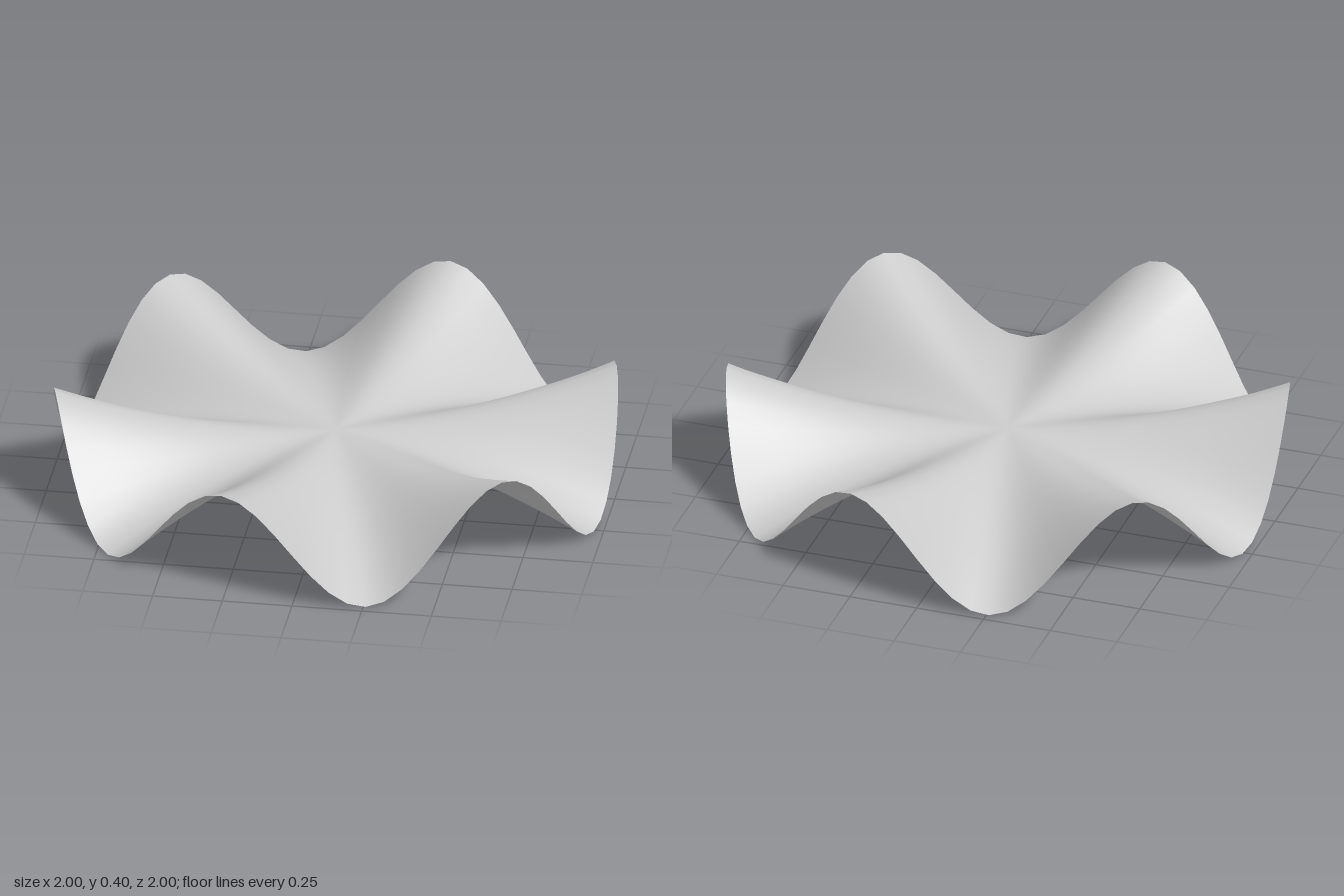
import * as THREE from 'three';

const WAVES = 6;        // ripples around the rim
const AMPLITUDE = 0.2;  // rim height above and below the centre

export function createModel() {
  const group = new THREE.Group();

  // Flat disc lying in the ground plane
  const geometry = new THREE.RingGeometry(0, 1, 96, 32);
  geometry.rotateX(-Math.PI / 2);

  // Ripple: height grows with the square of the radius
  const pos = geometry.attributes.position;
  const normal = geometry.attributes.normal;
  const n = new THREE.Vector3();
  for (let i = 0; i < pos.count; i++) {
    const x = pos.getX(i), z = pos.getZ(i);
    const r = Math.hypot(x, z);
    const a = Math.atan2(z, x);
    const s = Math.sin(WAVES * a), c = Math.cos(WAVES * a);
    pos.setY(i, AMPLITUDE * (1 - r * r * s));

    // Exact smooth normal from the radial and tangential slopes
    const radial = -2 * AMPLITUDE * r * s;
    const around = -WAVES * AMPLITUDE * r * c;
    n.set(
      -(radial * Math.cos(a) - around * Math.sin(a)),
      1,
      -(radial * Math.sin(a) + around * Math.cos(a))
    ).normalize();
    normal.setXYZ(i, n.x, n.y, n.z);
  }

  const material = new THREE.MeshStandardMaterial({ color: 0xcccccc, side: THREE.DoubleSide });
  const disc = new THREE.Mesh(geometry, material);
  disc.name = 'rippledDisc';
  group.add(disc);
  return group;
}
